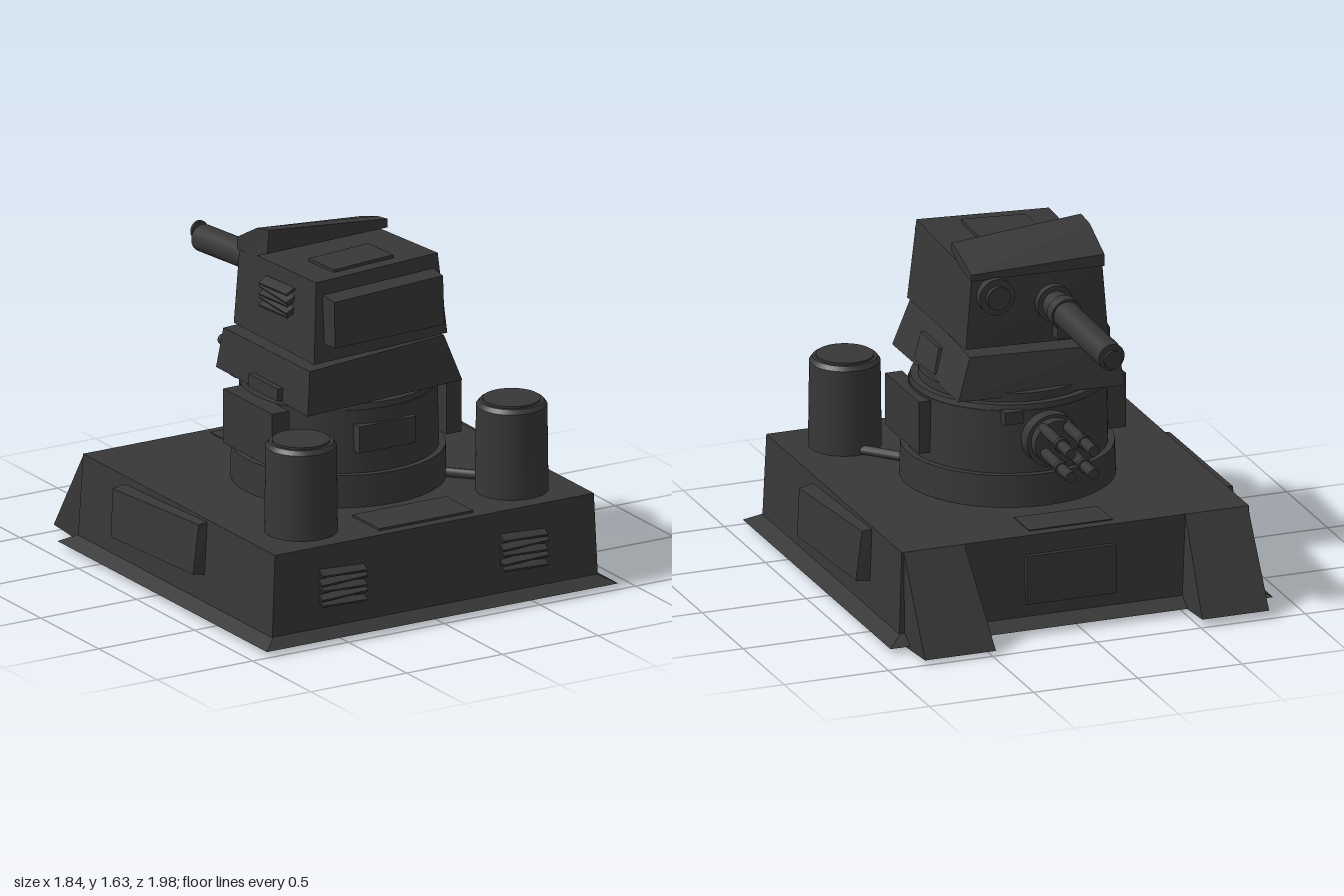
import * as THREE from 'three';

const steel = new THREE.MeshStandardMaterial({ color: 0x373737 });
steel.name = 'darkSteel';

export function createModel() {
  const root = new THREE.Group();
  root.name = 'gunTurret';

  const add = (name, geo, x = 0, y = 0, z = 0) => {
    const mesh = new THREE.Mesh(geo, steel);
    mesh.name = name;
    mesh.position.set(x, y, z);
    root.add(mesh);
    return mesh;
  };
  // box between two limits on each axis
  const box = (name, x0, x1, y0, y1, z0, z1) =>
    add(name, new THREE.BoxGeometry(x1 - x0, y1 - y0, z1 - z0), (x0 + x1) / 2, (y0 + y1) / 2, (z0 + z1) / 2);
  // eight-cornered block: bottom then top, each as back -x, back +x, front -x, front +x
  const block = (name, corners) => {
    const geo = new THREE.BoxGeometry(1, 1, 1).toNonIndexed();
    const p = geo.attributes.position;
    for (let i = 0; i < p.count; i++) {
      const k = (p.getY(i) > 0 ? 4 : 0) + (p.getZ(i) > 0 ? 2 : 0) + (p.getX(i) > 0 ? 1 : 0);
      p.setXYZ(i, ...corners[k]);
    }
    geo.computeVertexNormals();
    return add(name, geo);
  };
  // rectangle at the bottom and another at the top: [x0, x1, z0, z1, y]
  const rect = ([x0, x1, z0, z1, y]) => [[x0, y, z0], [x1, y, z0], [x0, y, z1], [x1, y, z1]];
  const taper = (name, low, high) => block(name, [...rect(low), ...rect(high)]);
  const drum = (name, r0, r1, y0, y1, x, z, n = 40) =>
    add(name, new THREE.CylinderGeometry(r1, r0, y1 - y0, n), x, (y0 + y1) / 2, z);
  // cylinder between two points
  const rod = (name, a, b, r, n = 20) => {
    const A = new THREE.Vector3(...a), B = new THREE.Vector3(...b);
    const d = B.clone().sub(A);
    const mesh = add(name, new THREE.CylinderGeometry(r, r, d.length(), n));
    mesh.position.copy(A).add(B).multiplyScalar(0.5);
    mesh.quaternion.setFromUnitVectors(new THREE.Vector3(0, 1, 0), d.normalize());
    return mesh;
  };

  // base hull with flared skirt
  taper('skirt', [-0.92, 0.915, -0.81, 0.99, 0.22], [-0.85, 0.84, -0.74, 0.93, 0.26]);
  taper('hull', [-0.855, 0.845, -0.74, 0.93, 0.25], [-0.835, 0.83, -0.73, 0.92, 0.64]);
  box('deckPlate', -0.26, 0.23, 0.635, 0.65, 0.64, 0.87);
  box('rearDeckPlate', -0.2, 0.2, 0.635, 0.645, -0.68, -0.5);
  box('rearHatch', -0.19, 0.24, 0.32, 0.55, -0.755, -0.72);

  // side armour panels
  for (const s of [-1, 1]) {
    const panel = block('sideArmour', [
      [0.82, 0.38, -0.37], [0.905, 0.39, -0.36], [0.82, 0.36, 0.34], [0.915, 0.37, 0.33],
      [0.82, 0.63, -0.37], [0.875, 0.62, -0.36], [0.82, 0.605, 0.34], [0.905, 0.595, 0.33]]);
    if (s < 0) {
      panel.rotation.y = Math.PI;
      panel.position.z = -0.03;
    }
  }

  // sloping rear buttresses
  for (const [x0, x1, t0, t1, y] of [[-0.83, -0.51, -0.83, -0.53, 0.21], [0.48, 0.82, 0.53, 0.82, 0.195]]) {
    block('rearButtress', [
      [x0, y, -0.7], [x1, y, -0.7], [x0, y, -0.7], [x1, y, -0.7],
      [t0, 0.64, -0.73], [t1, 0.64, -0.73], [t0, 0.64, -0.7], [t1, 0.64, -0.7],
    ].map((c, i) => (i < 2 ? [c[0], y + 0.02, -0.99] : c)));
  }

  // slatted vents on the front
  for (const x of [-0.49, 0.455]) {
    for (let i = 0; i < 5; i++) {
      const slat = add('ventSlat', new THREE.BoxGeometry(0.235, 0.012, 0.05), x, 0.375 + i * 0.035, 0.935);
      slat.rotation.set(0.5, 0, (i % 2 ? 0.05 : -0.05));
    }
  }

  // fuel drums and their pipes
  for (const s of [-1, 1]) {
    const x = s * 0.55;
    drum('fuelDrum', 0.165, 0.16, 0.63, 1.04, x, 0.675);
    drum('drumShoulder', 0.16, 0.145, 1.04, 1.06, x, 0.675);
    drum('drumCap', 0.13, 0.13, 1.05, 1.07, x, 0.675);
    rod('drumPipe', [s * 0.54, 0.66, 0.54], [s * 0.34, 0.66, 0.32], 0.022, 10);
  }

  // round turret
  drum('turretRing', 0.485, 0.48, 0.63, 0.79, 0, 0.09);
  drum('turretDrum', 0.45, 0.445, 0.79, 1.085, 0, 0.09);
  drum('turretRim', 0.44, 0.435, 1.085, 1.11, 0, 0.09);
  drum('turretBearing', 0.4, 0.4, 1.1, 1.15, 0, 0.09);
  box('turretFrontPlate', -0.17, 0.125, 0.895, 1.02, 0.48, 0.55);
  box('turretLeftPlate', 0.4, 0.48, 0.83, 1.075, -0.05, 0.36);
  box('turretRightPlate', -0.51, -0.42, 0.83, 1.085, -0.06, 0.36);
  box('turretBackBlock', 0.1, 0.19, 1.03, 1.09, -0.36, -0.3);

  // tilted collar under the head
  block('collar', [
    [-0.42, 1.11, -0.27], [0.38, 1.14, -0.28], [-0.42, 1.105, 0.52], [0.38, 1.14, 0.53],
    [-0.4, 1.3, -0.24], [0.31, 1.33, -0.24], [-0.41, 1.315, 0.52], [0.29, 1.365, 0.52]]);
  block('collarSidePlate', [
    [0.3, 1.17, 0.02], [0.38, 1.17, 0.02], [0.3, 1.16, 0.27], [0.38, 1.16, 0.27],
    [0.3, 1.28, 0.05], [0.345, 1.28, 0.05], [0.3, 1.285, 0.27], [0.345, 1.285, 0.27]]);
  box('collarFoot', -0.445, -0.4, 1.115, 1.175, 0.05, 0.3);

  // head
  block('head', [
    [-0.37, 1.33, -0.2], [0.32, 1.36, -0.215], [-0.375, 1.335, 0.5], [0.32, 1.365, 0.5],
    [-0.34, 1.68, -0.2], [0.285, 1.7, -0.2], [-0.35, 1.71, 0.475], [0.285, 1.74, 0.475]]);
  block('headFrontPlate', [
    [-0.32, 1.42, 0.45], [0.265, 1.43, 0.45], [-0.315, 1.425, 0.58], [0.26, 1.435, 0.575],
    [-0.32, 1.65, 0.45], [0.26, 1.675, 0.45], [-0.315, 1.64, 0.575], [0.255, 1.665, 0.57]]);
  block('headTopPlate', [
    [-0.21, 1.7, 0.18], [0.1, 1.71, 0.18], [-0.21, 1.7, 0.4], [0.1, 1.72, 0.4],
    [-0.21, 1.715, 0.18], [0.1, 1.732, 0.18], [-0.21, 1.725, 0.4], [0.1, 1.742, 0.4]]);

  // brow: flat top, then a sloping back half
  const browFlat = [
    [-0.345, 1.68, -0.06], [0.29, 1.7, -0.06], [-0.345, 1.72, 0.045], [0.285, 1.735, 0.045],
    [-0.34, 1.815, -0.05], [0.29, 1.76, -0.05], [-0.335, 1.83, 0.045], [0.285, 1.775, 0.045]];
  block('browTop', browFlat);
  block('browSlope', [
    [-0.345, 1.67, -0.215], [0.295, 1.68, -0.215], browFlat[0], browFlat[1],
    [-0.345, 1.725, -0.215], [0.295, 1.71, -0.215], browFlat[4], browFlat[5]]);

  // side grille on the head
  for (let i = 0; i < 5; i++) {
    const slat = add('headVentSlat', new THREE.BoxGeometry(0.05, 0.012, 0.24), -0.375, 1.51 + i * 0.026, 0.18);
    slat.rotation.set(i % 2 ? 0.05 : -0.05, 0, 0.5);
  }

  // lens at the back of the head
  rod('lensHousing', [0.18, 1.6, -0.18], [0.18, 1.6, -0.245], 0.085, 28);
  rod('lens', [0.18, 1.6, -0.24], [0.18, 1.6, -0.268], 0.055, 28);

  // main gun with ring, lug and loose muzzle disc
  rod('gunSocket', [-0.1, 1.53, -0.18], [-0.1, 1.53, -0.24], 0.085, 28);
  rod('mainBarrel', [-0.1, 1.53, -0.2], [-0.12, 1.49, -0.875], 0.063, 28);
  rod('barrelRing', [-0.105, 1.522, -0.31], [-0.107, 1.519, -0.365], 0.075, 28);
  box('barrelLug', -0.15, -0.06, 1.41, 1.5, -0.37, -0.305);
  rod('muzzleDisc', [-0.1, 1.505, -0.935], [-0.101, 1.502, -0.947], 0.045, 24).rotateX(0.2);

  // four-barrelled lower gun
  rod('lowerMount', [-0.02, 0.95, -0.3], [-0.02, 0.95, -0.415], 0.125, 28);
  rod('lowerMountFace', [-0.02, 0.955, -0.4], [-0.02, 0.955, -0.465], 0.105, 28);
  for (const x of [-0.055, 0.055]) {
    for (const y of [0.915, 1.025]) {
      rod('smallBarrel', [x - 0.02, y, -0.44], [x - 0.01, y, -0.8], 0.025, 16);
      rod('smallBarrelBand', [x - 0.014, y, -0.66], [x - 0.013, y, -0.685], 0.033, 16);
    }
  }

  return root;
}
